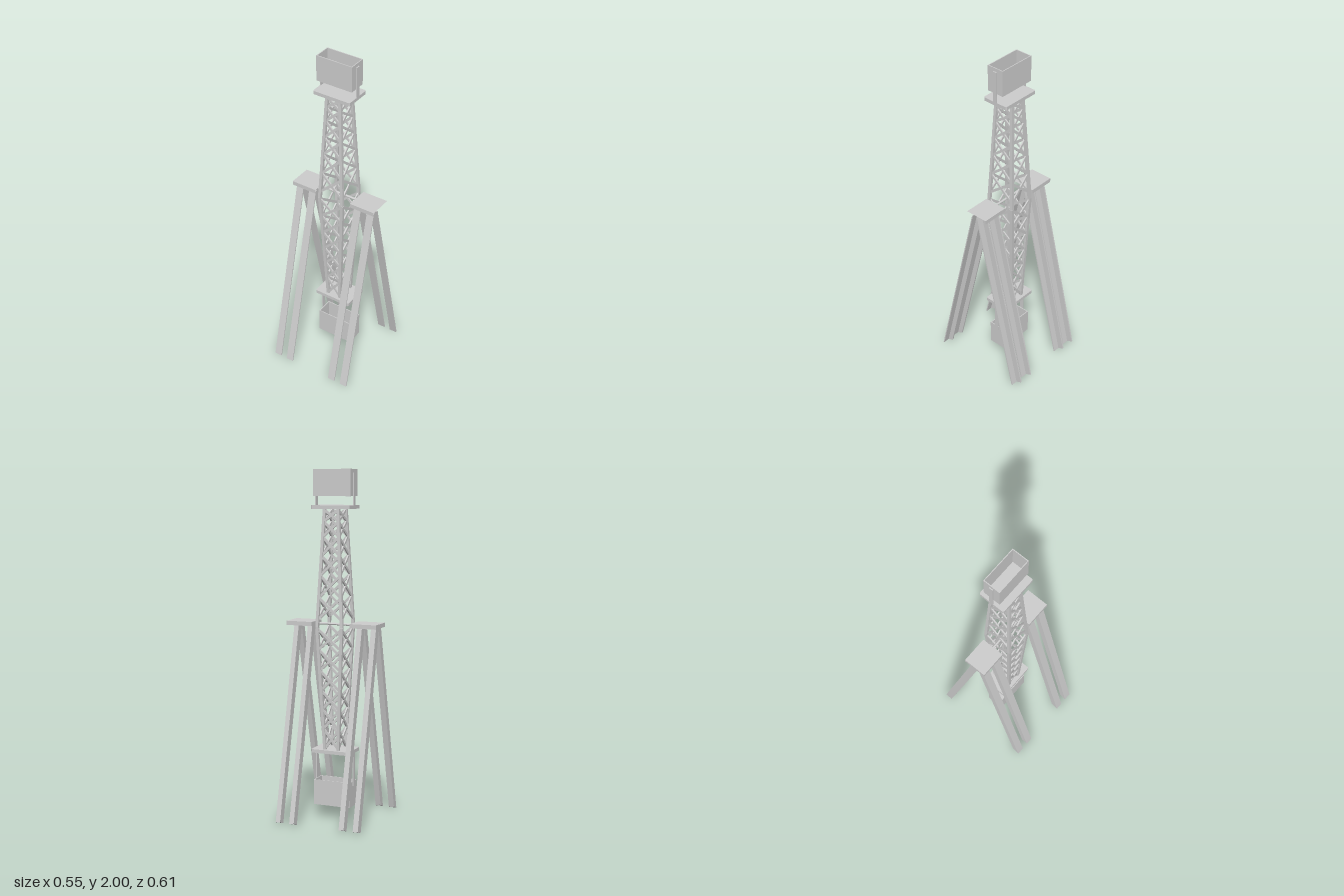
import * as THREE from 'three';

const CZ = -0.011; // z of the tower axis
const material = new THREE.MeshStandardMaterial({ color: 0xcccccc, flatShading: true });

function add(parent, name, geometry, x = 0, y = 0, z = 0) {
  const mesh = new THREE.Mesh(geometry, material);
  mesh.name = name;
  mesh.position.set(x, y, z);
  parent.add(mesh);
  return mesh;
}

const box = (w, h, d) => new THREE.BoxGeometry(w, h, d);

// Straight bar from a to b; depth is measured along the given face normal.
function bar(parent, name, a, b, width, depth, normal) {
  const dir = b.clone().sub(a);
  const length = dir.length();
  dir.normalize();
  const side = new THREE.Vector3().crossVectors(dir, normal).normalize();
  const out = new THREE.Vector3().crossVectors(side, dir);
  const mesh = add(parent, name, box(width, length, depth));
  mesh.quaternion.setFromRotationMatrix(new THREE.Matrix4().makeBasis(side, dir, out));
  mesh.position.copy(a).add(b).multiplyScalar(0.5);
}

// Flat plate with softened corners
function plate(w, h, d, r = 0.006) {
  const x = w / 2, z = d / 2;
  const shape = new THREE.Shape([
    [x - r, -z], [x, -z + r], [x, z - r], [x - r, z],
    [-x + r, z], [-x, z - r], [-x, -z + r], [-x + r, -z],
  ].map(([a, b]) => new THREE.Vector2(a, b)));
  return new THREE.ExtrudeGeometry(shape, { depth: h, bevelEnabled: false })
    .rotateX(-Math.PI / 2).translate(0, -h / 2, 0);
}

// Angle-iron leg, swept from its top corner down to its foot
function legGeometry(top, foot) {
  const w = 0.045, t = 0.008;
  const shape = new THREE.Shape([
    [0, 0], [0, -w], [t, -w], [t, -t], [w, -t], [w, 0],
  ].map(([a, b]) => new THREE.Vector2(a, b)));
  const geometry = new THREE.ExtrudeGeometry(shape, { depth: 1, bevelEnabled: false });
  const matrix = new THREE.Matrix4().makeBasis(
    new THREE.Vector3(1, 0, 0), new THREE.Vector3(0, -0.42, 0.93), foot.clone().sub(top));
  return geometry.applyMatrix4(matrix.setPosition(top));
}

function makeStand() {
  const stand = new THREE.Group();
  stand.name = 'stand';
  const front = legGeometry(new THREE.Vector3(0, 1.115, 0.035), new THREE.Vector3(0, 0, 0.305));
  const back = legGeometry(new THREE.Vector3(0, 1.115, 0.004), new THREE.Vector3(0, 0.005, -0.26));
  for (const x of [-0.26, -0.175, 0.13, 0.215]) {
    add(stand, 'frontLeg', front, x);
    add(stand, 'backLeg', back, x);
  }
  // Leg caps, open on the +x end
  for (const s of [-1, 1]) {
    const cap = box(0.157, 0.024, 0.138);
    cap.setIndex(Array.from(cap.index.array).slice(6));
    add(stand, 'legCap', cap, s * 0.195, 1.131, CZ);
  }
  add(stand, 'axle', new THREE.CylinderGeometry(0.007, 0.007, 0.26, 12).rotateZ(Math.PI / 2), 0, 1.13, CZ);
  return stand;
}

function makeTower() {
  const tower = new THREE.Group();
  tower.name = 'latticeTower';
  const MID = 1.12, LOW = 0.41, HIGH = 1.78;
  // Corner position at height y; the tower is widest at the axle
  const corner = (sx, sz, y) => {
    const k = y > MID ? (HIGH - y) / (HIGH - MID) : (y - LOW) / (MID - LOW);
    return new THREE.Vector3(sx * (0.041 + 0.034 * k), y, CZ + sz * (0.054 + 0.03 * k));
  };
  const Z = new THREE.Vector3(0, 0, 1), X = new THREE.Vector3(1, 0, 0);
  for (const sx of [-1, 1]) for (const sz of [-1, 1]) {
    bar(tower, 'lowerPost', corner(sx, sz, LOW), corner(sx, sz, MID), 0.017, 0.017, Z);
    bar(tower, 'upperPost', corner(sx, sz, MID), corner(sx, sz, HIGH), 0.017, 0.017, Z);
  }
  // Crossed braces on all four faces
  const levels = [
    [1.16, 1.285, 1.41, 1.52, 1.625, 1.71, 1.775],
    [1.11, 0.99, 0.87, 0.755, 0.645, 0.53, 0.415],
  ];
  for (const ys of levels) {
    for (let i = 0; i < ys.length - 1; i++) {
      for (const s of [-1, 1]) for (const f of [-1, 1]) {
        bar(tower, 'brace', corner(-s, f, ys[i]), corner(s, f, ys[i + 1]), 0.014, 0.008, Z);
        bar(tower, 'brace', corner(f, -s, ys[i]), corner(f, s, ys[i + 1]), 0.014, 0.008, X);
      }
    }
  }
  add(tower, 'topPlate', plate(0.234, 0.02, 0.16), 0, 1.79, CZ);
  add(tower, 'bottomPlate', plate(0.234, 0.02, 0.16), 0, 0.4, CZ);
  return tower;
}

// Open-topped tub carried by a flat hanger at each end
function makeGondola(name, bottom, height, hangerLow, hangerHigh) {
  const gondola = new THREE.Group();
  gondola.name = name;
  const w = 0.224, d = 0.104, t = 0.005, y = bottom + height / 2;
  add(gondola, 'floor', box(w, t, d), 0, bottom + t / 2, CZ);
  for (const s of [-1, 1]) {
    add(gondola, 'sideWall', box(w, height, t), 0, y, CZ + s * (d - t) / 2);
    add(gondola, 'endWall', box(t, height, d - 2 * t), s * (w - t) / 2, y, CZ);
    add(gondola, 'hanger', box(0.006, hangerHigh - hangerLow, 0.024),
      s * 0.115, (hangerLow + hangerHigh) / 2, CZ);
  }
  return gondola;
}

export function createModel() {
  const model = new THREE.Group();
  model.name = 'swingRide';
  model.add(
    makeStand(),
    makeTower(),
    makeGondola('topGondola', 1.85, 0.15, 1.8, 1.98),
    makeGondola('bottomGondola', 0.078, 0.147, 0.2, 0.39),
  );
  return model;
}
